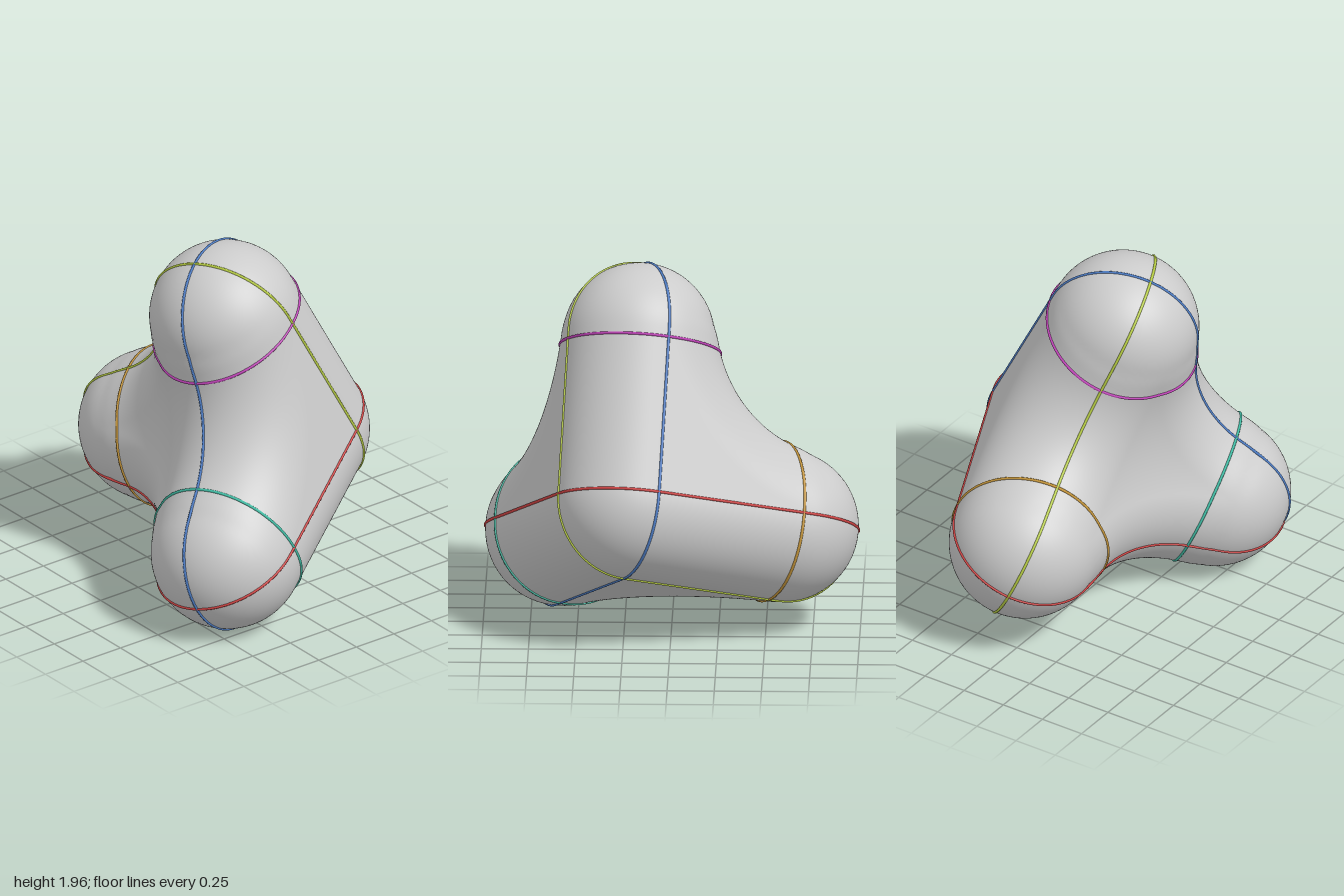
import * as THREE from 'three';
import { mergeVertices } from 'three/addons/utils/BufferGeometryUtils.js';

// Three rounded arms at right angles, meeting at one corner
const CORNER = new THREE.Vector3(0.222, 0.78, -0.365);
const LENGTH = 0.89, RADIUS = 0.405, FILLET = 1.06;
const up = new THREE.Vector3(-0.051, 0.882, 0.469).normalize();
const side = new THREE.Vector3(-0.907, -0.236, 0.345);
side.addScaledVector(up, -side.dot(up)).normalize();
const front = new THREE.Vector3().crossVectors(up, side);
const axes = [up, side, front];

// The core of the body is a cube corner with a ball scooped out of it,
// leaving three thin arms; the skin lies RADIUS away from the core.
const TIPS = new THREE.Vector3(LENGTH, LENGTH, LENGTH);
const BALL = new THREE.Vector3(FILLET, FILLET, FILLET);
const BALL_RADIUS = FILLET * Math.SQRT2;

// Distance to the skin, in arm coordinates
function distance(q) {
  const candidates = [];
  const capped = q.clone().min(TIPS);
  // Inside of the core and its flat faces
  const clamped = capped.clone().max(new THREE.Vector3());
  if (clamped.distanceTo(BALL) >= BALL_RADIUS) candidates.push(clamped);
  // Scooped face
  const scoop = capped.clone().sub(BALL).setLength(BALL_RADIUS).add(BALL);
  if (Math.min(scoop.x, scoop.y, scoop.z) >= 0) candidates.push(scoop.min(TIPS));
  for (let i = 0; i < 3; i++) {
    // Straight arm axis
    const onAxis = new THREE.Vector3();
    candidates.push(onAxis.setComponent(i, clamped.getComponent(i)));
    // Curved edge between the other two arms
    const arc = capped.clone().sub(BALL).setComponent(i, 0);
    candidates.push(arc.setLength(FILLET).add(BALL).setComponent(i, 0).min(TIPS));
  }
  return Math.min(...candidates.map((p) => p.distanceTo(q))) - RADIUS;
}

// Point where a ray from inside leaves the body
function surfacePoint(origin, dir) {
  let lo = 0, hi = 2;
  const q = new THREE.Vector3();
  for (let i = 0; i < 24; i++) {
    const mid = (lo + hi) / 2;
    q.copy(origin).addScaledVector(dir, mid);
    if (distance(q) < 0) lo = mid; else hi = mid;
  }
  return q;
}

// Arm coordinates to model coordinates
function toModel(q) {
  const p = CORNER.clone();
  axes.forEach((a, i) => p.addScaledVector(a, q.getComponent(i)));
  return p;
}

function makeBody() {
  let geo = new THREE.IcosahedronGeometry(1, 48);
  geo.deleteAttribute('normal');
  geo.deleteAttribute('uv');
  geo = mergeVertices(geo, 1e-5);
  const pos = geo.attributes.position;
  const origin = new THREE.Vector3(0.12, 0.12, 0.12);
  const dir = new THREE.Vector3();
  for (let i = 0; i < pos.count; i++) {
    dir.fromBufferAttribute(pos, i).normalize();
    const p = toModel(surfacePoint(origin, dir));
    pos.setXYZ(i, p.x, p.y, p.z);
  }
  geo.computeVertexNormals();
  const mesh = new THREE.Mesh(geo, new THREE.MeshStandardMaterial({ color: 0xcccccc }));
  mesh.name = 'body';
  return mesh;
}

// Thin line where a plane square to one arm cuts the body
function makeLine(axis, offset, color, name) {
  const j = (axis + 1) % 3, k = (axis + 2) % 3;
  const origin = new THREE.Vector3().setComponent(axis, offset);
  if (offset === 0) origin.setComponent(j, 0.12).setComponent(k, 0.12);
  const points = [];
  for (let i = 0; i < 90; i++) {
    const t = (i / 90) * Math.PI * 2;
    const dir = new THREE.Vector3();
    dir.setComponent(j, Math.cos(t)).setComponent(k, Math.sin(t));
    points.push(toModel(surfacePoint(origin, dir)));
  }
  const curve = new THREE.CatmullRomCurve3(points, true);
  const mesh = new THREE.Mesh(
    new THREE.TubeGeometry(curve, 240, 0.008, 6, true),
    new THREE.MeshStandardMaterial({ color })
  );
  mesh.name = name;
  return mesh;
}

export function createModel() {
  const group = new THREE.Group();
  group.name = 'threeArmedBlob';
  group.add(makeBody());

  // Long lines through the corner
  group.add(makeLine(0, 0, 0xd04444, 'redLongLine'));
  group.add(makeLine(1, 0, 0x4f7fc8, 'blueLongLine'));
  group.add(makeLine(2, 0, 0xb9cf45, 'yellowLongLine'));

  // Rings round the end of each arm
  const ringAt = LENGTH - 0.05;
  group.add(makeLine(0, ringAt, 0xc044b8, 'upperArmRing'));
  group.add(makeLine(1, ringAt, 0xc8983c, 'sideArmRing'));
  group.add(makeLine(2, ringAt, 0x44c0a8, 'frontArmRing'));
  return group;
}
